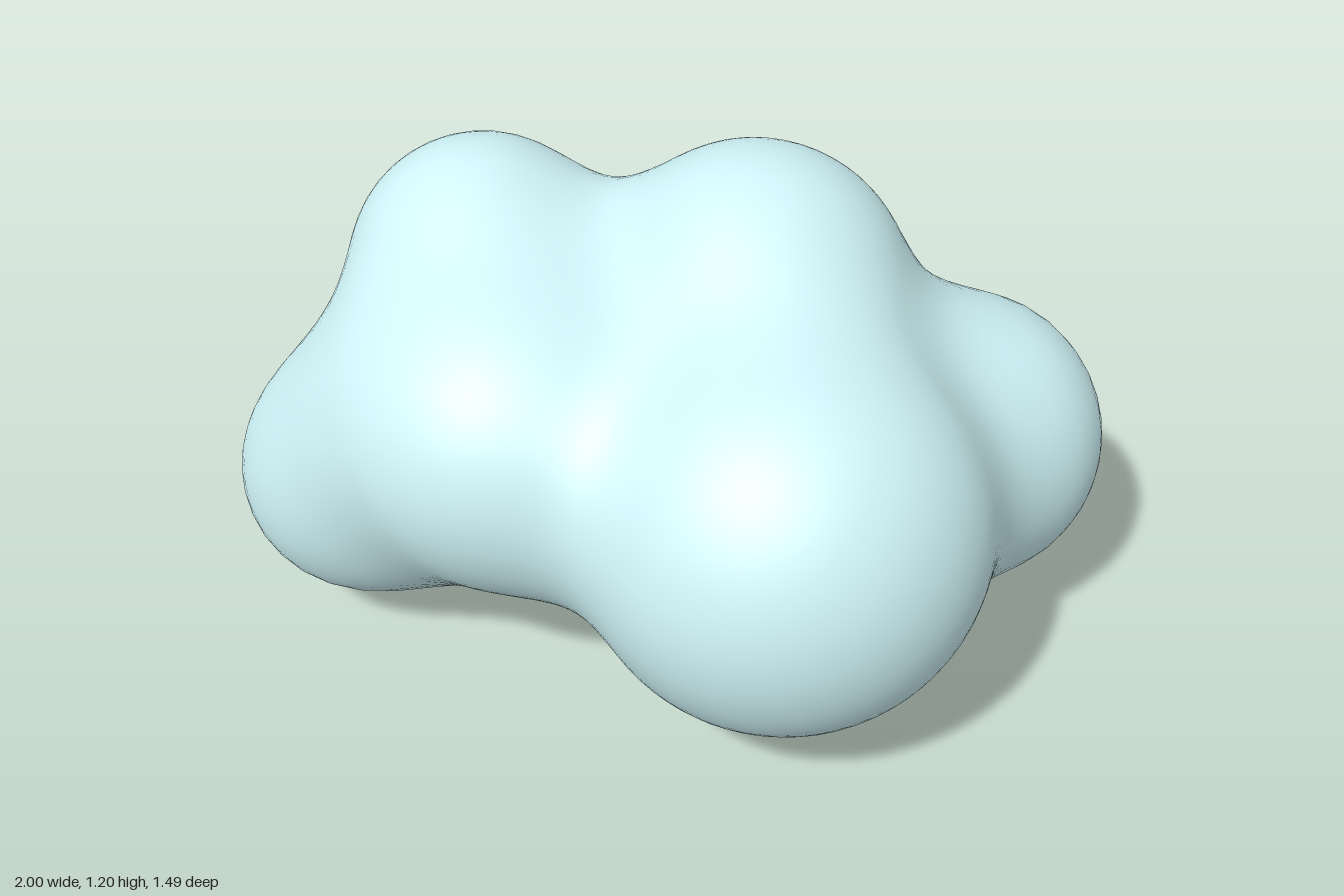
import * as THREE from 'three';

// Lobes of the blob: centre x, y, z and radius
const LOBES = [
  [0.0, 0.56, -0.08, 0.29],     // core
  [-0.3, 0.44, -0.15, 0.265],   // underside filler
  [-0.58, 0.62, -0.1, 0.23],    // shoulder between the side lobes
  [0.2, 0.555, 0.292, 0.453],   // front
  [0.19, 0.84, -0.15, 0.358],   // top
  [-0.4, 0.86, -0.32, 0.305],   // upper rear
  [-0.38, 0.67, 0.04, 0.34],    // front side
  [-0.7, 0.385, -0.235, 0.3],   // low side
  [0.66, 0.48, -0.075, 0.34],   // opposite side
  [0.065, 0.35, -0.4, 0.35],    // low rear
];
const BLEND = 0.22;
const ORIGIN = new THREE.Vector3(-0.02, 0.55, -0.09);

// Distance to the smoothly blended lobes
function field(p) {
  let d = Infinity;
  for (const [x, y, z, r] of LOBES) {
    const e = Math.hypot(p.x - x, p.y - y, p.z - z) - r;
    const h = Math.max(BLEND - Math.abs(d - e), 0) / BLEND;
    d = Math.min(d, e) - h * h * BLEND / 4;
  }
  return d;
}

// Walk inwards along a ray until the surface is met
function surfacePoint(dir) {
  const p = new THREE.Vector3();
  let t = 1.6;
  for (let i = 0; i < 150; i++) {
    const d = field(p.copy(ORIGIN).addScaledVector(dir, t));
    if (d < 0.0005) break;
    t -= d * 0.9;
  }
  return p;
}

// Surface normal from the slope of the field
function slope(p) {
  const e = 0.004;
  const n = new THREE.Vector3();
  for (const axis of ['x', 'y', 'z']) {
    const a = p.clone(), b = p.clone();
    a[axis] += e;
    b[axis] -= e;
    n[axis] = field(a) - field(b);
  }
  return n.normalize();
}

export function createModel() {
  const group = new THREE.Group();
  const geometry = new THREE.IcosahedronGeometry(1, 22);
  const pos = geometry.attributes.position;
  const normal = geometry.attributes.normal;
  const dir = new THREE.Vector3();
  for (let i = 0; i < pos.count; i++) {
    const p = surfacePoint(dir.fromBufferAttribute(pos, i).normalize());
    const n = slope(p);
    pos.setXYZ(i, p.x, p.y, p.z);
    normal.setXYZ(i, n.x, n.y, n.z);
  }
  const blob = new THREE.Mesh(geometry, new THREE.MeshStandardMaterial({ color: 0xcff4f8 }));
  blob.name = 'blob';
  group.add(blob);
  return group;
}
